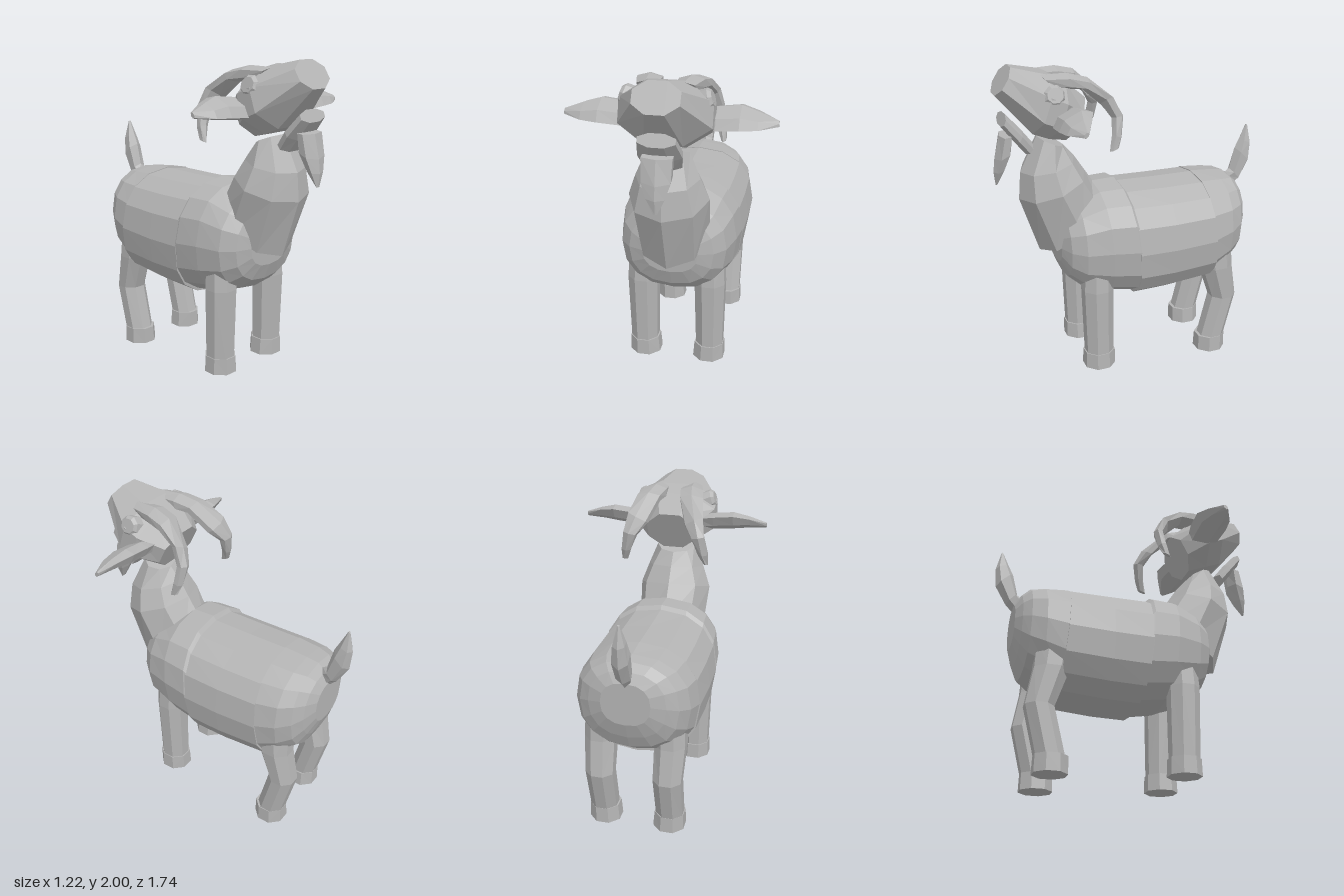
import * as THREE from 'three';

const grey = new THREE.MeshStandardMaterial({ color: 0xb4b4b4, flatShading: true });
grey.name = 'stoneGrey';

// Ring spanning opposite points a and b, with half-width w (along x, or any vector).
// power < 1 makes it boxier; flat turns it half a step so flats face the axes.
function ring(a, b, w, n, flat, power) {
  const A = new THREE.Vector3(...a), B = new THREE.Vector3(...b);
  const c = A.clone().add(B).multiplyScalar(0.5), v = A.sub(c);
  const u = Array.isArray(w) ? new THREE.Vector3(...w) : new THREE.Vector3(w, 0, 0);
  const k = flat ? 1 / Math.cos(Math.PI / n) : 1;
  const bend = t => Math.sign(t) * Math.abs(t) ** power * k;
  return Array.from({ length: n }, (_, i) => {
    const t = (i + (flat ? 0.5 : 0)) * 2 * Math.PI / n;
    return c.clone().addScaledVector(v, bend(Math.cos(t))).addScaledVector(u, bend(Math.sin(t)));
  });
}

// Capped skin over a row of rings, wound so that it faces outward.
function loft(name, sections, { n = 8, flat = false, power = 1, side = 1 } = {}) {
  const rings = sections.map(([a, b, w]) => ring(a, b, w, n, flat, power));
  rings.flat().forEach(p => { p.x *= side; });
  const tris = [];
  for (let r = 0; r + 1 < rings.length; r++) {
    for (let i = 0; i < n; i++) {
      const j = (i + 1) % n, P = rings[r], Q = rings[r + 1];
      tris.push([P[i], Q[i], Q[j]], [P[i], Q[j], P[j]]);
    }
  }
  const first = rings[0], last = rings[rings.length - 1];
  for (let i = 1; i + 1 < n; i++) {
    tris.push([first[0], first[i], first[i + 1]], [last[0], last[i + 1], last[i]]);
  }
  const cross = new THREE.Vector3();
  const volume = tris.reduce((s, [a, b, c]) => s + a.dot(cross.crossVectors(b, c)), 0);
  const pts = tris.flatMap(t => (volume < 0 ? [t[0], t[2], t[1]] : t));
  const geo = new THREE.BufferGeometry().setFromPoints(pts);
  geo.computeVertexNormals();
  const mesh = new THREE.Mesh(geo, grey);
  mesh.name = name;
  return mesh;
}

// Ring on the centre plane: [y, z] to [y, z], half-width
const mid = (y1, z1, y2, z2, w) => [[0, y1, z1], [0, y2, z2], w];
// Level ring for a leg: x, y, z centre, half sizes in x and z
const level = (x, y, z, rx, rz) => [[x, y, z + rz], [x, y, z - rz], rx];

export function createModel() {
  const goat = new THREE.Group();
  goat.name = 'goat';

  // Body in three overlapping pieces
  const body = { n: 16, power: 0.85 };
  goat.add(
    loft('chest', [
      mid(1.02, 0.52, 0.75, 0.51, 0.17), mid(1.11, 0.48, 0.65, 0.47, 0.26),
      mid(1.17, 0.40, 0.58, 0.39, 0.325), mid(1.24, 0.26, 0.52, 0.22, 0.365),
      mid(1.245, 0.11, 0.49, 0.04, 0.38), mid(1.215, 0.085, 0.5, 0.03, 0.375),
    ], body),
    loft('barrel', [
      mid(1.22, 0.10, 0.47, 0.04, 0.38), mid(1.215, -0.17, 0.475, -0.18, 0.385),
      mid(1.215, -0.43, 0.5, -0.48, 0.38),
    ], body),
    loft('rump', [
      mid(1.22, -0.43, 0.51, -0.47, 0.375), mid(1.21, -0.58, 0.58, -0.58, 0.35),
      mid(1.2, -0.66, 0.645, -0.67, 0.3), mid(1.16, -0.71, 0.73, -0.71, 0.235),
      mid(1.1, -0.745, 0.83, -0.745, 0.15),
    ], body),
  );

  // Neck, head, jaw and beard
  goat.add(
    loft('neck', [
      mid(0.825, 0.61, 1.1, 0.16, 0.22), mid(1.18, 0.725, 1.32, 0.305, 0.24),
      mid(1.35, 0.71, 1.42, 0.37, 0.19), mid(1.565, 0.6, 1.5, 0.44, 0.125),
    ]),
    loft('head', [
      mid(1.995, 0.745, 1.84, 0.845, 0.13), mid(1.945, 0.53, 1.61, 0.65, 0.265),
      mid(1.9, 0.44, 1.57, 0.55, 0.265), mid(1.79, 0.31, 1.54, 0.435, 0.16),
    ], { flat: true }),
    loft('jaw', [
      mid(1.725, 0.79, 1.655, 0.82, 0.105), mid(1.625, 0.70, 1.55, 0.74, 0.125),
      mid(1.54, 0.635, 1.475, 0.68, 0.11),
    ], { flat: true }),
    loft('beard', [
      mid(1.59, 0.825, 1.6, 0.75, 0.1), mid(1.45, 0.86, 1.5, 0.755, 0.095),
      mid(1.37, 0.87, 1.39, 0.8, 0.06), mid(1.29, 0.862, 1.3, 0.85, 0.015),
    ], { n: 6 }),
    loft('tail', [
      mid(1.18, -0.69, 1.07, -0.74, 0.035), mid(1.2, -0.72, 1.12, -0.79, 0.05),
      mid(1.34, -0.755, 1.24, -0.86, 0.055), mid(1.4, -0.785, 1.365, -0.87, 0.04),
      mid(1.495, -0.83, 1.49, -0.84, 0.008),
    ], { n: 6 }),
  );

  // Paired parts
  for (const side of [1, -1]) {
    goat.add(
      loft('horn', [
        [[0.105, 1.95, 0.59], [0.105, 1.87, 0.52], 0.065],
        [[0.12, 1.955, 0.44], [0.12, 1.86, 0.42], 0.085],
        [[0.14, 1.925, 0.32], [0.14, 1.855, 0.35], 0.085],
        [[0.19, 1.80, 0.18], [0.17, 1.77, 0.25], [0.065, 0.03, 0]],
        [[0.225, 1.70, 0.13], [0.215, 1.69, 0.2], [0.045, 0.01, 0]],
        [[0.25, 1.58, 0.15], [0.25, 1.60, 0.21], 0.035],
        [[0.27, 1.52, 0.175], [0.265, 1.50, 0.23], 0.015],
      ], { n: 6, side }),
      loft('ear', [
        [[0.17, 1.68, 0.54], [0.17, 1.75, 0.40], [0, 0.04, 0.02]],
        [[0.27, 1.68, 0.57], [0.27, 1.77, 0.38], [0, 0.045, 0.02]],
        [[0.4, 1.69, 0.575], [0.4, 1.785, 0.375], [0, 0.045, 0.02]],
        [[0.5, 1.695, 0.56], [0.5, 1.765, 0.415], [0, 0.03, 0.015]],
        [[0.61, 1.705, 0.5], [0.61, 1.73, 0.47], [0, 0.012, 0.005]],
      ], { n: 6, side }),
      loft('eye', [
        [[0.14, 1.88, 0.53], [0.18, 1.77, 0.53], [0, 0, 0.06]],
        [[0.22, 1.91, 0.545], [0.26, 1.80, 0.545], [0, 0, 0.058]],
        [[0.245, 1.9, 0.545], [0.27, 1.82, 0.545], [0, 0, 0.045]],
      ], { flat: true, side }),
      loft('frontLeg', [
        level(0.215, 0.15, 0.3, 0.085, 0.088), level(0.215, 0.6, 0.305, 0.095, 0.095),
        level(0.21, 0.75, 0.3, 0.09, 0.09),
      ], { flat: true, side }),
      loft('frontHoof', [
        level(0.21, 0.05, 0.3, 0.098, 0.098), level(0.213, 0.155, 0.3, 0.092, 0.095),
      ], { flat: true, side }),
      loft('backLeg', [
        level(0.215, 0.09, -0.51, 0.085, 0.085), level(0.215, 0.39, -0.585, 0.088, 0.085),
        level(0.22, 0.62, -0.525, 0.095, 0.105), level(0.21, 0.8, -0.5, 0.1, 0.12),
      ], { flat: true, side }),
      loft('backHoof', [
        level(0.21, 0, -0.505, 0.098, 0.098), level(0.213, 0.105, -0.505, 0.092, 0.095),
      ], { flat: true, side }),
    );
  }
  return goat;
}
